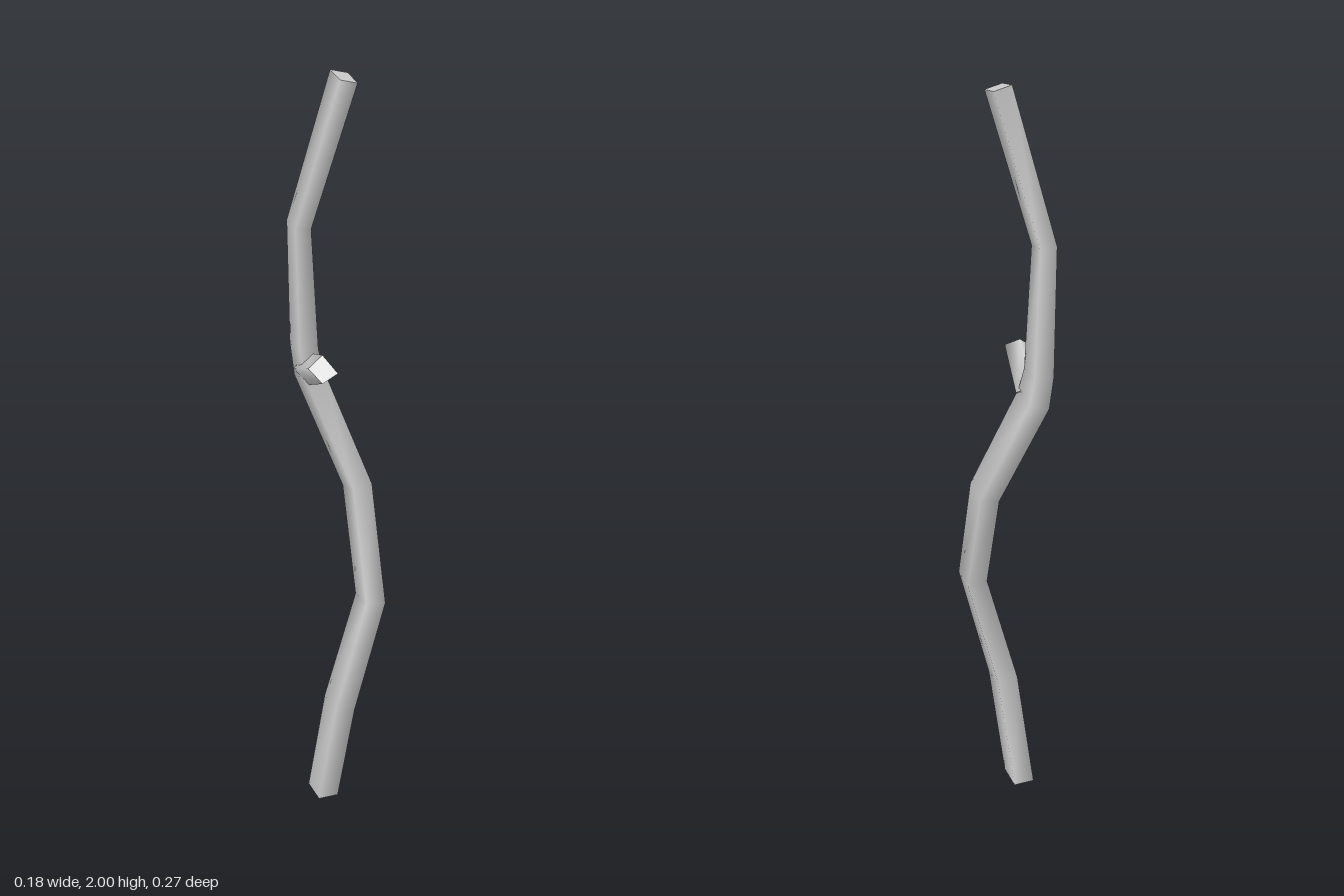
import * as THREE from 'three';

const material = new THREE.MeshStandardMaterial({ color: 0xcccccc });

// Skin four-cornered rings into a closed limb: smooth sides, flat end caps.
function limb(name, rings) {
  const pos = [], index = [];
  const n = 4, last = rings.length - 1;
  rings.forEach(r => r.forEach(p => pos.push(p.x, p.y, p.z)));
  for (let k = 0; k < last; k++) {
    for (let i = 0; i < n; i++) {
      const a = k * n + i, b = k * n + (i + 1) % n;
      index.push(a, a + n, b, b, a + n, b + n);
    }
  }
  const cap = corners => {
    const o = pos.length / 3;
    corners.forEach(p => pos.push(p.x, p.y, p.z));
    index.push(o, o + 1, o + 2, o, o + 2, o + 3);
  };
  cap(rings[0]);
  cap([...rings[last]].reverse());
  const g = new THREE.BufferGeometry();
  g.setAttribute('position', new THREE.Float32BufferAttribute(pos, 3));
  g.setIndex(index);
  g.computeVertexNormals();
  const mesh = new THREE.Mesh(g, material);
  mesh.name = name;
  return mesh;
}

export function createModel() {
  const group = new THREE.Group();
  group.name = 'crookedStick';

  // Trunk: centre x, y, z and thickness at each bend
  const bends = [
    [-0.033, 0, -0.005, 1.34],
    [-0.021, 0.33, 0.052, 1.3],
    [0.044, 0.66, 0.097, 1.25],
    [0.058, 0.96, 0.024, 1.2],
    [-0.006, 1.25, -0.088, 1.2],
    [-0.014, 1.32, -0.096, 1.15],
    [-0.028, 1.635, -0.093, 0.95],
    [0.033, 1.989, -0.004, 1],
  ];
  // Skewed rectangular section: back, right, front, left
  const section = [[-0.013, -0.033], [0.027, -0.019], [0.012, 0.033], [-0.026, 0.018]];
  const centres = bends.map(([x, y, z]) => new THREE.Vector3(x, y, z));
  const rings = bends.map(([x, y, z, s], k) => {
    // Tilt each ring square to the bend; the foot stays level
    const next = centres[Math.min(k + 1, bends.length - 1)];
    const t = next.clone().sub(centres[Math.max(k - 1, 0)]);
    const tilt = k === 0 ? 0 : 1 / t.y;
    return section.map(([dx, dz]) => new THREE.Vector3(
      x + dx * s, y - (t.x * dx + t.z * dz) * s * tilt, z + dz * s));
  });
  group.add(limb('trunk', rings));

  // Side twig: sawn tip, thickening down into the trunk
  const tip = [[-0.09, 1.322, 0.016], [-0.054, 1.35, 0.025], [-0.047, 1.318, 0.075], [-0.087, 1.3, 0.066]]
    .map(p => new THREE.Vector3(...p));
  const tipCentre = new THREE.Vector3(-0.07, 1.322, 0.045);
  const root = new THREE.Vector3(-0.012, 1.26, -0.08);
  const base = tip.map(p => p.clone().sub(tipCentre).multiplyScalar(1.15).add(root));
  group.add(limb('sideTwig', [base, tip]));

  return group;
}
